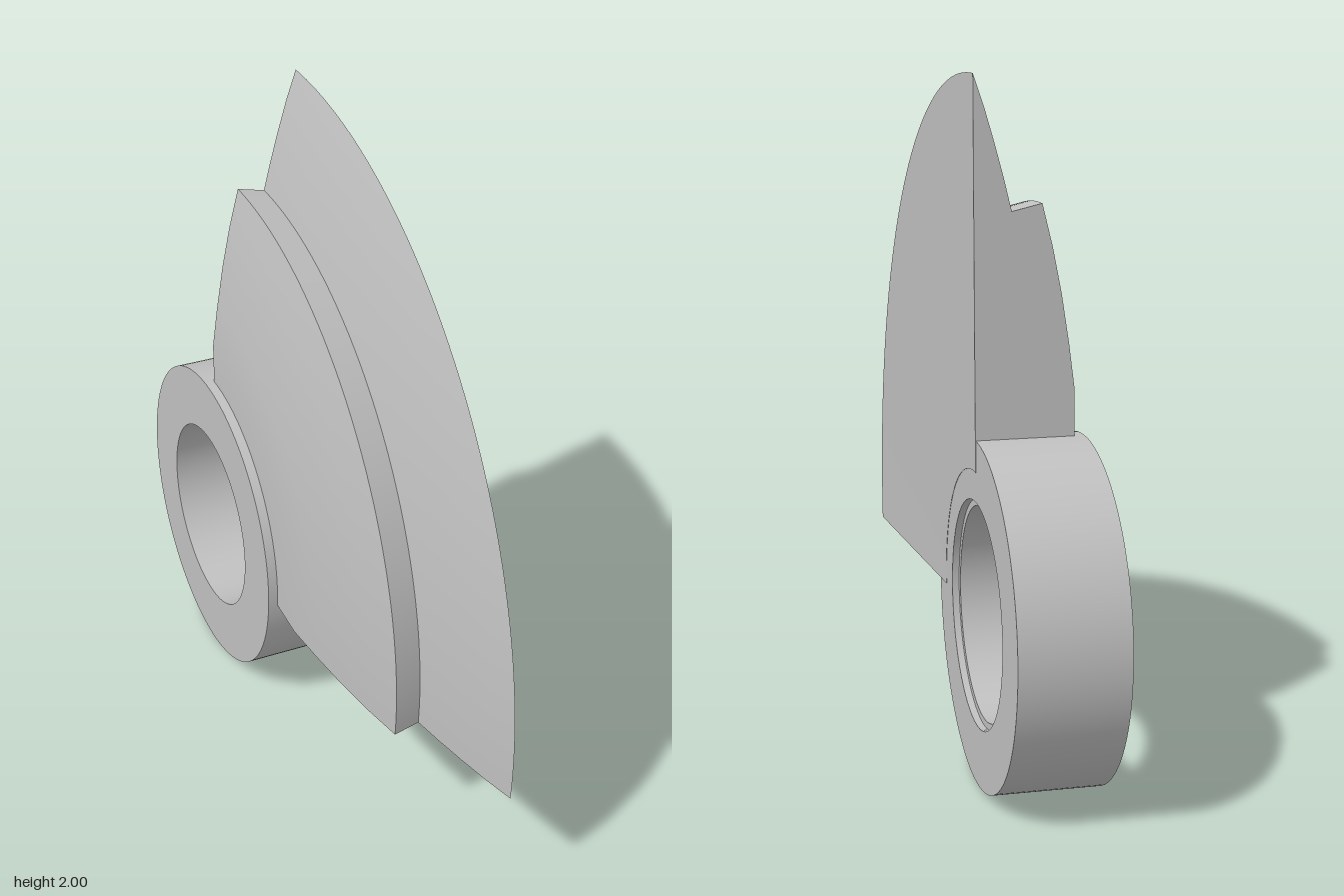
import * as THREE from 'three';
import { toCreasedNormals } from 'three/addons/utils/BufferGeometryUtils.js';

// Profiles are [radius, offset along the hub axis], counter-clockwise
const RING = [[0.305, -0.16], [0.5, -0.16], [0.5, 0.15], [0.325, 0.15], [0.325, 0.13], [0.305, 0.13]];
const SECTOR = [
  [0.41, -0.13], [0.63, -0.13], [0.76, -0.113], [0.9, -0.091], [1.03, -0.065], [1.15, -0.035],
  [1.13, 0.05], [1.22, 0.072], [1.315, 0.098], [1.41, 0.126], [1.5, 0.157], [0.41, 0.151],
];

function sweep(profile, segments, start, length) {
  const pts = [...profile, profile[0]].map(([r, h]) => new THREE.Vector2(r, h));
  return toCreasedNormals(new THREE.LatheGeometry(pts, segments, start, length), 0.4);
}

// Flat end of a partial sweep; flip turns it to face the other way
function endCap(profile, phi, flip) {
  const s = flip ? -1 : 1;
  const geo = new THREE.ShapeGeometry(new THREE.Shape(profile.map(([r, h]) => new THREE.Vector2(r, s * h))));
  if (flip) geo.rotateX(Math.PI);
  return geo.rotateY(phi - Math.PI / 2);
}

export function createModel() {
  const grey = new THREE.MeshStandardMaterial({ color: 0xc0c0c0 });
  grey.name = 'light grey';

  const model = new THREE.Group();
  model.name = 'sectorCam';
  const hub = new THREE.Group();
  hub.name = 'hubAssembly';
  hub.rotation.z = -Math.PI / 2; // sweep axis becomes x
  hub.position.set(0, 0.5, -0.5);
  model.add(hub);

  const add = (name, geo) => {
    const mesh = new THREE.Mesh(geo, grey);
    mesh.name = name;
    hub.add(mesh);
  };

  // Bored ring with a shallow counterbore
  add('hubRing', sweep(RING, 96, 0, Math.PI * 2));

  // Stepped sector from straight up to just below horizontal
  const start = -Math.PI / 2;
  const end = THREE.MathUtils.degToRad(4.7);
  add('sectorBlade', sweep(SECTOR, 64, start, end - start));
  add('sectorUpperEnd', endCap(SECTOR, start, false));
  add('sectorLowerEnd', endCap(SECTOR, end, true));

  return model;
}
